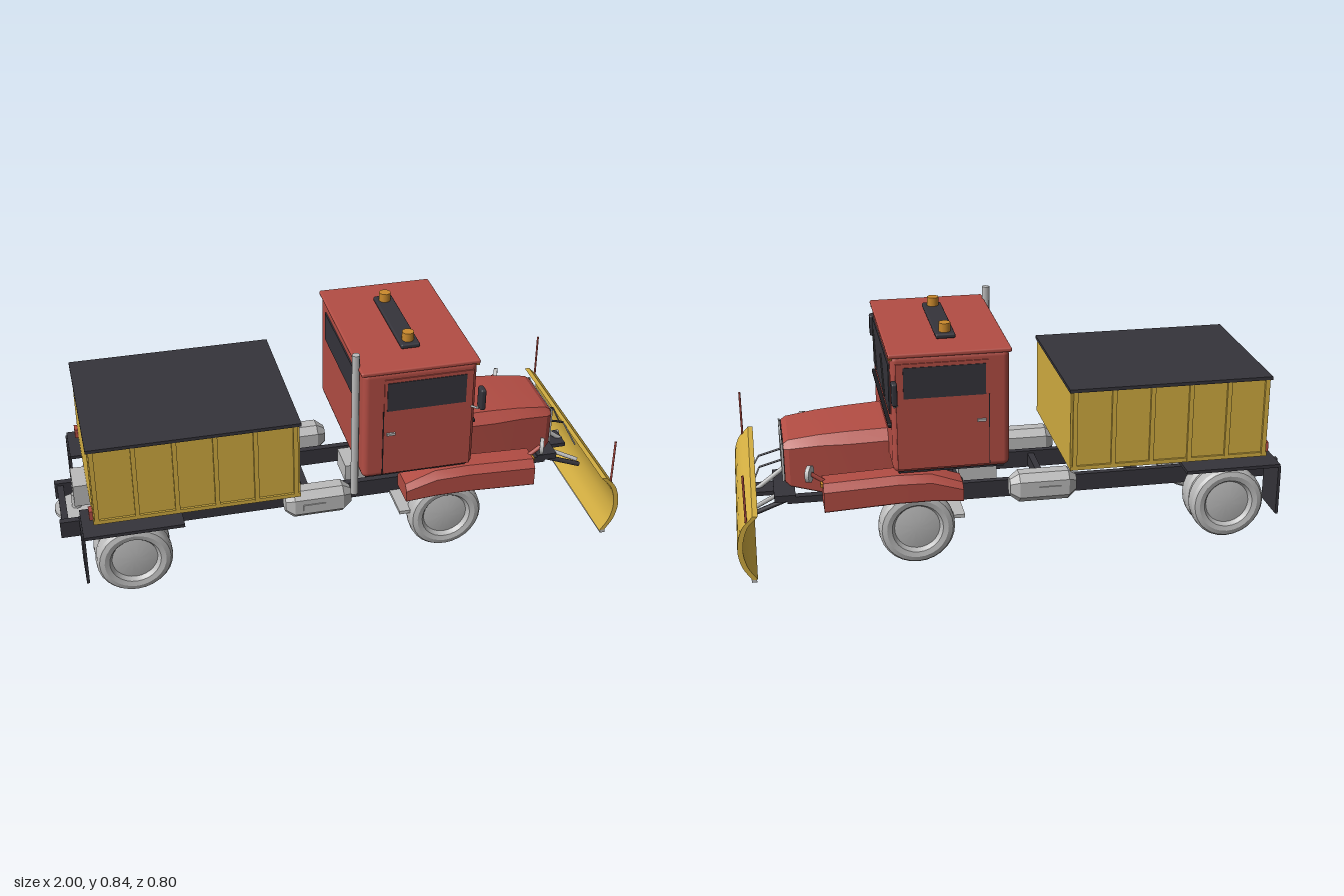
import * as THREE from 'three';
import { toCreasedNormals } from 'three/addons/utils/BufferGeometryUtils.js';
import { RoundedBoxGeometry } from 'three/addons/geometries/RoundedBoxGeometry.js';

const mat = (name, color) => Object.assign(new THREE.MeshStandardMaterial({ color }), { name });

export function createModel() {
  const red = mat('red paint', 0xb34d44), yellow = mat('yellow paint', 0xd3ae41);
  const dark = mat('dark trim', 0x35343b), black = mat('black rubber', 0x1d1d21);
  const grey = mat('light grey', 0xbcbcbc), orange = mat('orange lens', 0xcc8a2c);
  const truck = new THREE.Group();
  truck.name = 'snowPlowTruck';

  const add = (name, geo, m, x = 0, y = 0, z = 0) => {
    const mesh = new THREE.Mesh(geo, m);
    mesh.name = name;
    mesh.position.set(x, y, z);
    truck.add(mesh);
    return mesh;
  };
  // box given by its limits on each axis
  const box = (name, m, x0, x1, y0, y1, z0, z1) =>
    add(name, new THREE.BoxGeometry(x1 - x0, y1 - y0, z1 - z0), m, (x0 + x1) / 2, (y0 + y1) / 2, (z0 + z1) / 2);
  const rounded = (name, m, x0, x1, y0, y1, z0, z1, r) =>
    add(name, new RoundedBoxGeometry(x1 - x0, y1 - y0, z1 - z0, 2, r), m, (x0 + x1) / 2, (y0 + y1) / 2, (z0 + z1) / 2);
  // round bar between two points
  const bar = (name, m, a, b, r) => {
    const p = new THREE.Vector3(...a), q = new THREE.Vector3(...b), d = q.clone().sub(p);
    const mesh = add(name, new THREE.CylinderGeometry(r, r, d.length(), 8), m);
    mesh.position.copy(p.add(q).multiplyScalar(0.5));
    mesh.quaternion.setFromUnitVectors(new THREE.Vector3(0, 1, 0), d.normalize());
    return mesh;
  };
  // chamfered hull along x; section = [x, halfWidth, y0, y1, topChamfer, bottomChamfer]
  const loft = (sections) => {
    const rings = sections.map(([x, w, y0, y1, c, b = 0.004]) => [
      [-w + b, y0], [-w, y0 + b], [-w, y1 - c], [-w + c, y1],
      [w - c, y1], [w, y1 - c], [w, y0 + b], [w - b, y0]].map(([z, y]) => [x, y, z]));
    const pos = [], tri = (...p) => p.forEach((v) => pos.push(...v));
    for (let s = 0; s < rings.length - 1; s++) {
      for (let i = 0; i < 8; i++) {
        const j = (i + 1) % 8, a = rings[s], b = rings[s + 1];
        tri(a[i], a[j], b[j]);
        tri(a[i], b[j], b[i]);
      }
    }
    const first = rings[0], last = rings[rings.length - 1];
    for (let i = 1; i < 7; i++) {
      tri(last[0], last[i], last[i + 1]);
      tri(first[0], first[i + 1], first[i]);
    }
    const geo = new THREE.BufferGeometry();
    geo.setAttribute('position', new THREE.Float32BufferAttribute(pos, 3));
    geo.computeVertexNormals();
    return toCreasedNormals(geo, 0.35);
  };

  // wheels: one lathed profile with a dished hub
  const profile = [[0, 0.024], [0.03, 0.026], [0.08, 0.018], [0.084, 0.026], [0.09, 0.034], [0.108, 0.038],
    [0.125, 0.033], [0.133, 0.022], [0.135, 0], [0.133, -0.022], [0.125, -0.033], [0.108, -0.038],
    [0.088, -0.032], [0.08, -0.018], [0, -0.018]].map(([r, h]) => new THREE.Vector2(r, h)).reverse();
  const wheelGeo = toCreasedNormals(new THREE.LatheGeometry(profile, 28), 0.5);
  const wheel = (name, x, z, side) => {
    add(name, wheelGeo, grey, x, 0.135, z * side).rotation.x = side * Math.PI / 2;
  };

  for (const s of [1, -1]) {
    const sideBox = (name, m, x0, x1, y0, y1, z0, z1) =>
      box(name, m, x0, x1, y0, y1, Math.min(z0 * s, z1 * s), Math.max(z0 * s, z1 * s));
    wheel('frontWheel', 0.38, 0.255, s);
    wheel('rearOuterWheel', -0.75, 0.257, s);
    wheel('rearInnerWheel', -0.75, 0.178, s);
    sideBox('frameRail', dark, -0.99, 0.62, 0.16, 0.225, 0.11, 0.134);
    sideBox('rearFenderPlate', dark, -0.92, -0.575, 0.284, 0.296, 0.17, 0.337);
    sideBox('mudFlap', dark, -0.925, -0.915, 0.1, 0.285, 0.19, 0.333);
    sideBox('tailLight', red, -0.892, -0.875, 0.325, 0.36, 0.245, 0.28);
    sideBox('step', grey, 0.21, 0.33, 0.155, 0.168, 0.13, 0.27);

    // fuel tank with tapered ends
    add('fuelTank', loft([[-0.2, 0.026, 0.2, 0.262, 0.015, 0.015], [-0.17, 0.046, 0.177, 0.285, 0.025, 0.025],
      [0.008, 0.046, 0.177, 0.285, 0.025, 0.025], [0.04, 0.026, 0.2, 0.262, 0.015, 0.015]]), grey, 0, 0, 0.203 * s);
    sideBox('tankPlate', grey, -0.14, -0.06, 0.215, 0.24, 0.245, 0.253);

    // front fender and its lamps
    add('frontFender', loft([[0.22, 0.058, 0.238, 0.303, 0.02], [0.33, 0.06, 0.248, 0.342, 0.025],
      [0.45, 0.06, 0.248, 0.345, 0.025], [0.7, 0.06, 0.236, 0.335, 0.025]]), red, 0, 0, 0.256 * s);
    sideBox('turnLamp', orange, 0.7, 0.708, 0.318, 0.331, 0.255, 0.285);
    const lamp = add('headlight', new THREE.CylinderGeometry(0.031, 0.031, 0.014, 8), grey, 0.743, 0.36, 0.256 * s);
    lamp.rotation.set(Math.PI / 8, 0, -Math.PI / 2, 'ZYX');
    bar('headlightBracket', red, [0.69, 0.325, 0.256 * s], [0.738, 0.36, 0.256 * s], 0.008);

    // door, side window and mirror
    sideBox('door', red, 0.13, 0.445, 0.375, 0.755, 0.305, 0.314);
    sideBox('doorSeam', black, 0.127, 0.131, 0.375, 0.63, 0.308, 0.313);
    sideBox('sideWindow', dark, 0.14, 0.42, 0.632, 0.742, 0.31, 0.3165);
    sideBox('doorHandle', grey, 0.14, 0.17, 0.535, 0.544, 0.312, 0.321);
    rounded('mirror', dark, 0.447, 0.467, 0.635, 0.715, 0.37 * s - 0.02, 0.37 * s + 0.02, 0.007);
    bar('mirrorArm', grey, [0.44, 0.607, 0.305 * s], [0.455, 0.617, 0.342 * s], 0.004);
    bar('mirrorArm', grey, [0.455, 0.617, 0.342 * s], [0.455, 0.65, 0.357 * s], 0.004);
    sideBox('markerLamp', orange, 0.455, 0.466, 0.768, 0.779, 0.285, 0.308);

    // roof beacon
    add('beacon', new THREE.CylinderGeometry(0.021, 0.021, 0.032, 10), orange, 0.255, 0.824, 0.149 * s);

    // plow marker rod and push arms
    bar('plowMarker', red, [0.965, 0.26, 0.39 * s], [0.965, 0.43, 0.39 * s], 0.004);
    bar('pushArm', dark, [0.8, 0.2, 0.085 * s], [0.965, 0.15, 0.11 * s], 0.009);
    bar('angleCylinder', grey, [0.83, 0.205, 0.04 * s], [0.96, 0.165, 0.1 * s], 0.008);
    bar('plowChain', dark, [0.82, 0.335, 0.05 * s], [0.91, 0.31, 0.05 * s], 0.004);
    bar('chainLink', grey, [0.91, 0.31, 0.05 * s], [0.955, 0.22, 0.08 * s], 0.003);
    sideBox('mountArm', dark, 0.6, 0.82, 0.19, 0.215, 0.09, 0.12);

    // cargo body ribs along each side
    for (let i = 0; i < 6; i++) {
      const x = -0.868 + i * 0.1385;
      sideBox('bodyRib', yellow, x - 0.008, x + 0.008, 0.318, 0.606, 0.285, 0.298);
    }
    sideBox('bodySill', yellow, -0.88, -0.16, 0.315, 0.33, 0.285, 0.296);
  }

  // chassis cross parts
  for (const x of [-0.97, -0.45, -0.1, 0.2, 0.58]) box('crossMember', dark, x - 0.012, x + 0.012, 0.17, 0.215, -0.115, 0.115);
  for (const x of [-0.75, 0.38]) bar('axle', grey, [x, 0.135, -0.25], [x, 0.135, 0.25], 0.018);
  box('gearbox', grey, 0.06, 0.2, 0.18, 0.25, -0.06, 0.06);

  // cargo body and cover
  box('cargoBody', yellow, -0.88, -0.16, 0.315, 0.607, -0.288, 0.288);
  box('cargoCover', dark, -0.885, -0.155, 0.606, 0.618, -0.298, 0.298);

  // salt spreader
  box('spreaderChute', grey, -0.93, -0.875, 0.235, 0.32, -0.06, 0.06);
  bar('spreaderShaft', grey, [-0.92, 0.18, 0], [-0.92, 0.25, 0], 0.018);
  add('spreaderDisc', new THREE.CylinderGeometry(0.08, 0.08, 0.012, 20), grey, -0.92, 0.19, 0);

  // cab
  rounded('cab', red, 0.057, 0.46, 0.36, 0.785, -0.31, 0.31, 0.022);
  box('cabFloor', dark, 0.075, 0.44, 0.35, 0.364, -0.285, 0.285);
  rounded('roof', red, 0.05, 0.468, 0.774, 0.79, -0.312, 0.312, 0.006);
  box('windshield', dark, 0.456, 0.465, 0.565, 0.74, -0.268, 0.268);
  box('rearWindow', dark, 0.052, 0.06, 0.63, 0.74, -0.23, 0.23);
  rounded('cowlBar', black, 0.455, 0.472, 0.518, 0.533, -0.282, 0.282, 0.005);
  for (const z of [0.23, -0.038]) bar('wiper', black, [0.467, 0.7, z], [0.467, 0.58, z - 0.095], 0.003);
  rounded('lightBar', dark, 0.222, 0.29, 0.792, 0.809, -0.186, 0.186, 0.006);
  bar('exhaustStack', grey, [0.043, 0.27, 0.256], [0.043, 0.835, 0.256], 0.014);

  // hood and grille
  add('hood', loft([[0.44, 0.168, 0.24, 0.46, 0.035], [0.6, 0.16, 0.24, 0.453, 0.035],
    [0.7, 0.15, 0.238, 0.446, 0.03], [0.805, 0.14, 0.265, 0.432, 0.025], [0.823, 0.13, 0.28, 0.42, 0.015]]), red);
  box('grilleBack', black, 0.82, 0.827, 0.28, 0.417, -0.12, 0.12);
  for (let i = 0; i < 10; i++) box('grilleBar', grey, 0.825, 0.832, 0.285 + i * 0.0135, 0.2925 + i * 0.0135, -0.113, 0.113);
  for (const z of [-0.118, 0.118]) box('grilleFrame', grey, 0.825, 0.832, 0.28, 0.42, z - 0.004, z + 0.004);

  // plow mount
  box('plowMount', dark, 0.79, 0.865, 0.198, 0.222, -0.12, 0.12);
  box('plowTongue', dark, 0.86, 0.93, 0.195, 0.21, -0.045, 0.045);
  bar('liftCylinder', grey, [0.81, 0.29, 0], [0.93, 0.2, 0], 0.009);

  // plow blade: curved section swept across the truck
  const outer = new THREE.CatmullRomCurve3([[0.943, 0.284], [0.982, 0.24], [1, 0.165], [0.988, 0.1], [0.957, 0.05]]
    .map(([x, y]) => new THREE.Vector3(x, y, 0))).getPoints(16);
  const inner = outer.map((p) => new THREE.Vector3(p.x - 0.018, p.y, 0)).reverse();
  const blade = new THREE.ExtrudeGeometry(new THREE.Shape([...outer, ...inner].map((p) => new THREE.Vector2(p.x, p.y))),
    { depth: 0.802, bevelEnabled: false });
  add('plowBlade', toCreasedNormals(blade, 0.6), yellow, 0, 0, -0.401);
  box('cuttingEdge', grey, 0.942, 0.96, 0.04, 0.052, -0.401, 0.401);
  return truck;
}
